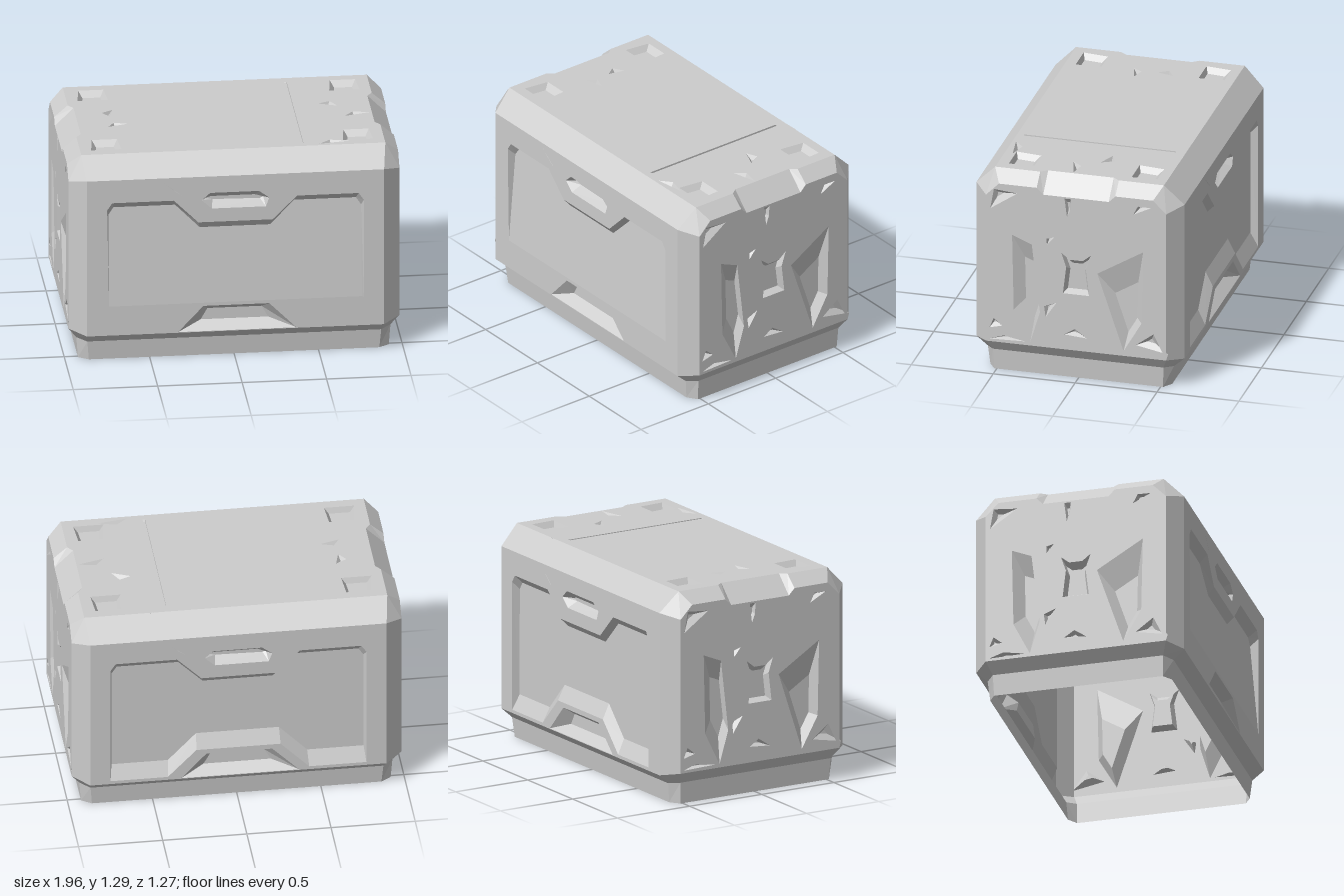
import * as THREE from 'three';

const grey = new THREE.MeshStandardMaterial({ color: 0xcccccc, flatShading: true, side: THREE.DoubleSide });
grey.name = 'plain grey';

function mesh(name, geometry) {
  const m = new THREE.Mesh(geometry, grey);
  m.name = name;
  return m;
}

// Strip of quads between two equally long rows of 3D points
function strip(name, a, b, closed = true) {
  const pos = [];
  const n = closed ? a.length : a.length - 1;
  for (let i = 0; i < n; i++) {
    const j = (i + 1) % a.length;
    pos.push(...a[i], ...a[j], ...b[j], ...a[i], ...b[j], ...b[i]);
  }
  const g = new THREE.BufferGeometry();
  g.setAttribute('position', new THREE.Float32BufferAttribute(pos, 3));
  g.computeVertexNormals();
  return mesh(name, g);
}

const toShape = (pts) => new THREE.Shape(pts.map(([x, y]) => new THREE.Vector2(x, y)));

// Flat wall facing +z, with sunken pockets; each pocket has outer, inner and depth(x, y)
function wall(name, outline, pockets) {
  const group = new THREE.Group();
  group.name = name;
  const shape = toShape(outline);
  for (const { label, outer, inner, depth } of pockets) {
    shape.holes.push(new THREE.Path(outer.map(([x, y]) => new THREE.Vector2(x, y))));
    group.add(strip(label + 'Rim', outer.map(([x, y]) => [x, y, 0]),
      inner.map(([x, y]) => [x, y, -depth(x, y)])));
    const floor = new THREE.ShapeGeometry(toShape(inner));
    const p = floor.attributes.position;
    for (let i = 0; i < p.count; i++) p.setZ(i, -depth(p.getX(i), p.getY(i)));
    floor.computeVertexNormals();
    group.add(mesh(label + 'Floor', floor));
  }
  group.add(mesh(name + 'Skin', new THREE.ShapeGeometry(shape)));
  return group;
}

// Pocket whose floor is the outline scaled about its middle and shifted
function pocket(label, outer, scale, depth, dx = 0, dy = 0) {
  const cx = outer.reduce((s, p) => s + p[0], 0) / outer.length;
  const cy = outer.reduce((s, p) => s + p[1], 0) / outer.length;
  const inner = outer.map(([x, y]) => [cx + (x - cx) * scale + dx, cy + (y - cy) * scale + dy]);
  return { label, outer, inner, depth: () => depth };
}

// Worn triangular chip
function chip(x, y, length, width, angle) {
  const c = Math.cos(angle), s = Math.sin(angle);
  const pts = [[-length / 2, -width * 0.3], [length / 2, -width * 0.1], [-length * 0.1, width * 0.7]];
  return pocket('chip', pts.map(([u, v]) => [x + u * c - v * s, y + u * s + v * c]), 0.25, 0.025,
    -0.1 * width, 0.1 * width);
}

// Long faces: recessed panel, upper grip slot and lower grip notch
const panelTop = [[0.76, 0.98], [0.73, 1.025], [0.365, 1.025], [0.22, 0.88],
  [-0.22, 0.88], [-0.365, 1.025], [-0.73, 1.025], [-0.76, 0.98]];
const lowered = panelTop.map(([x, y]) => [x - Math.sign(x) * 0.012, y - 0.047]);

function longWall(name, isFront) {
  const bottom = isFront ? [[-0.76, 0.36], [0.76, 0.36]]
    : [[-0.76, 0.2], [-0.42, 0.2], [-0.25, 0.375], [0.25, 0.375], [0.42, 0.2], [0.76, 0.2]];
  const panel = {
    label: 'panel',
    outer: [...bottom, ...panelTop],
    inner: [...bottom.map(([x, y]) => [x * 0.985, y + (isFront ? 0.005 : 0.09)]), ...lowered],
    depth: isFront ? (x, y) => Math.max(0, 0.05 * (y - 0.365) / 0.6) : () => 0.045,
  };
  const slot = {
    label: 'gripSlot',
    outer: [[-0.14, 0.965], [0.18, 0.965], [0.2, 1.02], [0.14, 1.065], [-0.15, 1.065], [-0.2, 1.02]],
    inner: [[-0.13, 1.0], [0.15, 0.995], [0.17, 1.005], [0.12, 1.02], [-0.14, 1.02], [-0.17, 1.01]],
    depth: () => 0.06,
  };
  const notch = {
    label: 'lowerGrip',
    outer: [[-0.34, 0.184], [0.36, 0.184], [0.2, 0.345], [-0.19, 0.345]],
    inner: [[-0.2, 0.235], [0.2, 0.235], [0.16, 0.305], [-0.16, 0.305]],
    depth: () => 0.06,
  };
  const scuff = pocket('scuff', [[-0.43, 1.145], [-0.31, 1.05], [-0.36, 1.085]], 0.4, 0.012);
  return wall(name, [[-0.88, 0.18], [0.88, 0.18], [0.88, 1.17], [-0.88, 1.17]], [panel, slot, notch, scuff]);
}

// End faces: two deep gouges, a centre socket and scattered chips
const endTop = [[0.47, 1.22], [0.24, 1.22], [0.2, 1.18], [-0.2, 1.18], [-0.24, 1.22], [-0.47, 1.22]];

function endWall(name) {
  return wall(name, [[-0.55, 0.2], [0.55, 0.2], [0.55, 1.14], ...endTop, [-0.55, 1.14]], [
    pocket('gouge', [[-0.39, 0.9], [-0.38, 0.42], [-0.28, 0.22], [-0.22, 0.42], [-0.27, 0.85]], 0.55, 0.045, 0.03),
    pocket('gouge', [[0.41, 0.88], [0.13, 0.71], [0.2, 0.5], [0.29, 0.23], [0.4, 0.42]], 0.5, 0.045, 0.02, -0.05),
    pocket('socket', [[-0.08, 0.56], [0.08, 0.56], [0.06, 0.73], [0.09, 0.82], [0.04, 0.78],
      [-0.04, 0.78], [-0.09, 0.82], [-0.06, 0.73]], 0.75, 0.04, 0, -0.02),
    pocket('slit', [[-0.07, 1.17], [-0.03, 1.17], [-0.035, 1.1], [-0.055, 1.05]], 0.4, 0.02),
    chip(-0.45, 1.13, 0.2, 0.1, 0.5),
    chip(0.4, 1.15, 0.12, 0.04, 0.4),
    chip(0.47, 0.28, 0.2, 0.11, -0.3),
    chip(-0.49, 0.31, 0.08, 0.06, 0.1),
    chip(0.0, 0.3, 0.14, 0.05, -0.15),
    chip(-0.16, 0.45, 0.12, 0.05, 0.9),
    chip(-0.16, 0.89, 0.07, 0.03, 0.8),
    chip(-0.42, 0.225, 0.22, 0.03, 0),
  ]);
}

// Lid: four corner sockets, a seam groove and chips
function lid() {
  const edge = [[0.9, 0.515], [0.9, 0.24], [0.87, 0.2], [0.87, -0.2], [0.9, -0.24], [0.9, -0.515]];
  const pockets = [
    pocket('seam', [[0.405, -0.47], [0.42, -0.47], [0.42, 0.48], [0.405, 0.48]], 0.98, 0.012),
    chip(-0.67, 0.1, 0.1, 0.06, 1.2), chip(-0.64, -0.08, 0.12, 0.05, 0.2),
    chip(0.63, 0.1, 0.12, 0.06, -0.5), chip(0.78, -0.06, 0.16, 0.05, 0.2),
    chip(0.6, -0.47, 0.18, 0.05, 0.1), chip(0.5, 0.49, 0.1, 0.04, -0.7),
  ];
  for (const sx of [-1, 1]) for (const sz of [-1, 1]) {
    const x = sx * 0.745, y = sz * 0.375;
    pockets.push(pocket('cornerSocket',
      [[x - 0.09, y - 0.075], [x + 0.09, y - 0.075], [x + 0.08, y + 0.08], [x - 0.07, y + 0.08]],
      0.7, 0.035, 0, -0.01));
  }
  return wall('lid', [...edge, ...edge.map(([x, z]) => [-x, -z])], pockets);
}

// Eight-point ring from one corner's front point and side point
function ring([ax, ay, az], [bx, by, bz]) {
  return [[ax, ay, az], [bx, by, bz], [bx, by, -bz], [ax, ay, -az],
    [-ax, ay, -az], [-bx, by, -bz], [-bx, by, bz], [-ax, ay, az]];
}

export function createModel() {
  const crate = new THREE.Group();
  crate.name = 'crate';

  // Open plinth and the flare above it
  const foot = ring([0.86, 0, 0.555], [0.92, 0, 0.515]);
  const plinthTop = ring([0.87, 0.12, 0.568], [0.93, 0.13, 0.52]);
  const flareTop = ring([0.88, 0.18, 0.635], [0.98, 0.2, 0.55]);
  crate.add(strip('plinth', foot, plinthTop), strip('flare', plinthTop, flareTop));

  // Main walls
  const front = longWall('frontWall', true);
  front.position.z = 0.635;
  const back = longWall('backWall', false);
  back.position.z = -0.635;
  back.rotation.y = Math.PI;
  const top = lid();
  top.position.y = 1.29;
  top.rotation.x = -Math.PI / 2;
  crate.add(front, back, top);

  for (const s of [-1, 1]) {
    const end = endWall(s > 0 ? 'leftWall' : 'rightWall');
    end.position.x = s * 0.98;
    end.rotation.y = s * Math.PI / 2;
    crate.add(end);

    // Stepped bevel between lid and end wall
    const upper = [[0.9, 0.515], [0.9, 0.24], [0.87, 0.2], [0.87, -0.2], [0.9, -0.24], [0.9, -0.515]];
    crate.add(strip('endBevel', upper.map(([x, z]) => [s * x, 1.29, z]),
      endTop.map(([z, y]) => [s * 0.98, y, z]), false));

    // Bevel between lid and long wall
    crate.add(strip('longBevel', [[-0.9, 1.29, s * 0.515], [0.9, 1.29, s * 0.515]],
      [[-0.88, 1.17, s * 0.635], [0.88, 1.17, s * 0.635]], false));

    // Upright corner bevels with their faceted caps
    for (const t of [-1, 1]) {
      const a = [s * 0.88, 1.17, t * 0.635], b = [s * 0.98, 1.14, t * 0.55];
      const c = [s * 0.98, 1.22, t * 0.47], d = [s * 0.9, 1.29, t * 0.515];
      crate.add(strip('cornerBevel', [[s * 0.88, 0.18, t * 0.635], a],
        [[s * 0.98, 0.2, t * 0.55], b], false));
      crate.add(strip('cornerCap', [d, d], [a, b], false), strip('cornerCap', [d, d], [b, c], false));
    }
  }
  return crate;
}
